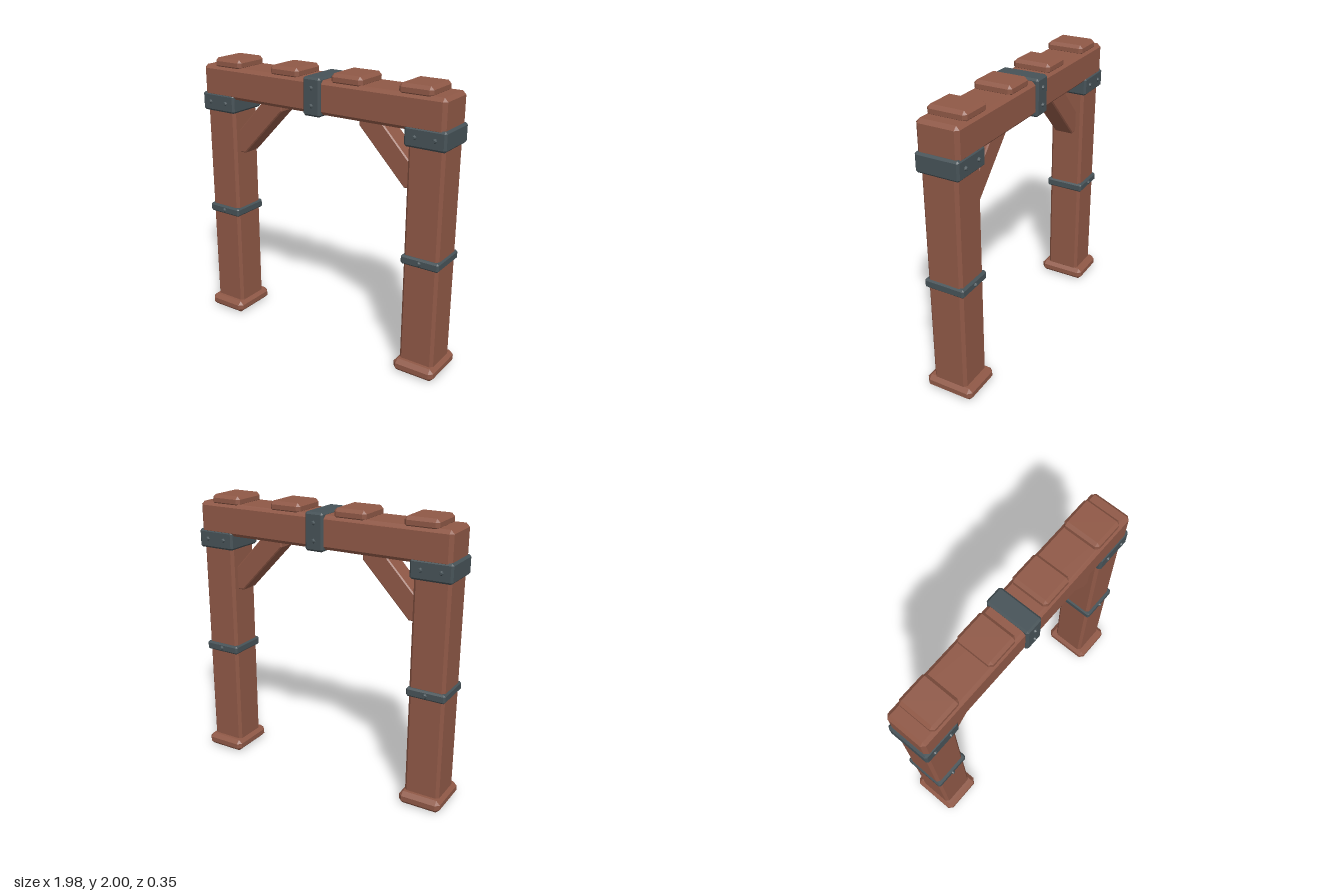
import * as THREE from 'three';
import { ConvexGeometry } from 'three/addons/geometries/ConvexGeometry.js';

const wood = new THREE.MeshStandardMaterial({ color: 0x8f5846 });
wood.name = 'redBrownWood';
const iron = new THREE.MeshStandardMaterial({ color: 0x465257 });
iron.name = 'darkIron';

// Box with every edge and corner cut by c
function chamferBox(w, h, d, c) {
  const pts = [];
  for (const sx of [-1, 1]) for (const sy of [-1, 1]) for (const sz of [-1, 1]) {
    const x = w / 2, y = h / 2, z = d / 2;
    pts.push(new THREE.Vector3(sx * x, sy * (y - c), sz * (z - c)));
    pts.push(new THREE.Vector3(sx * (x - c), sy * y, sz * (z - c)));
    pts.push(new THREE.Vector3(sx * (x - c), sy * (y - c), sz * z));
  }
  return new ConvexGeometry(pts);
}

export function createModel() {
  const gate = new THREE.Group();
  gate.name = 'timberGateway';

  function add(parent, name, geometry, material, x, y, z) {
    const mesh = new THREE.Mesh(geometry, material);
    mesh.name = name;
    mesh.position.set(x, y, z);
    parent.add(mesh);
    return mesh;
  }
  // Block given by its centre x, bottom, top, width, depth and chamfer
  function block(parent, name, material, x, y0, y1, w, d, c) {
    return add(parent, name, chamferBox(w, y1 - y0, d, c), material, x, (y0 + y1) / 2, 0);
  }
  // Low faceted rivets on the front and the back
  const rivetGeometry = new THREE.CylinderGeometry(0.009, 0.017, 0.014, 8).toNonIndexed();
  rivetGeometry.computeVertexNormals();
  rivetGeometry.rotateX(Math.PI / 2);
  function rivets(parent, x, y, z) {
    add(parent, 'rivetFront', rivetGeometry, iron, x, y, z + 0.005);
    add(parent, 'rivetBack', rivetGeometry, iron, x, y, -z - 0.005).rotation.y = Math.PI;
  }

  // Diagonal brace outline for the left side (+x)
  const braceShape = new THREE.Shape([
    [0.32, 1.73], [0.32, 1.67], [0.665, 1.31], [0.73, 1.31], [0.73, 1.46], [0.475, 1.73],
  ].map(([x, y]) => new THREE.Vector2(x, y)));

  for (const [side, s] of [['left', 1], ['right', -1]]) {
    const leg = new THREE.Group();
    leg.name = side + 'Leg';
    gate.add(leg);
    const x = 0.838 * s;
    block(leg, 'foot', wood, x, 0, 0.092, 0.306, 0.355, 0.028);
    block(leg, 'post', wood, x, 0.07, 1.74, 0.256, 0.256, 0.02);
    block(leg, 'middleBand', iron, x, 0.81, 0.874, 0.278, 0.292, 0.012);
    block(leg, 'cornerBracket', iron, x, 1.612, 1.745, 0.292, 0.308, 0.014);
    rivets(leg, x, 0.842, 0.146);
    for (const dx of [-0.07, 0.07]) rivets(leg, x + dx, 1.68, 0.154);

    const depth = 0.15;
    const brace = new THREE.ExtrudeGeometry(braceShape, {
      depth: depth - 0.016, bevelEnabled: true, bevelSize: 0.008,
      bevelOffset: -0.008, bevelThickness: 0.008, bevelSegments: 1,
    });
    brace.translate(0, 0, -depth / 2 + 0.008);
    // A half turn mirrors the symmetric brace to the other side
    if (s < 0) brace.rotateY(Math.PI);
    add(leg, 'brace', brace, wood, 0, 0, 0);
  }

  // Cross beam with its centre band
  block(gate, 'crossBeam', wood, 0, 1.715, 1.945, 1.935, 0.296, 0.024);
  block(gate, 'centreBand', iron, 0, 1.7, 1.962, 0.138, 0.33, 0.014);
  for (const y of [1.772, 1.892]) rivets(gate, 0, y, 0.165);

  // Cap blocks along the top
  for (const x of [-0.75, -0.25, 0.25, 0.75]) {
    block(gate, 'capBlock', wood, x, 1.925, 2, 0.238, 0.275, 0.022);
  }
  return gate;
}
